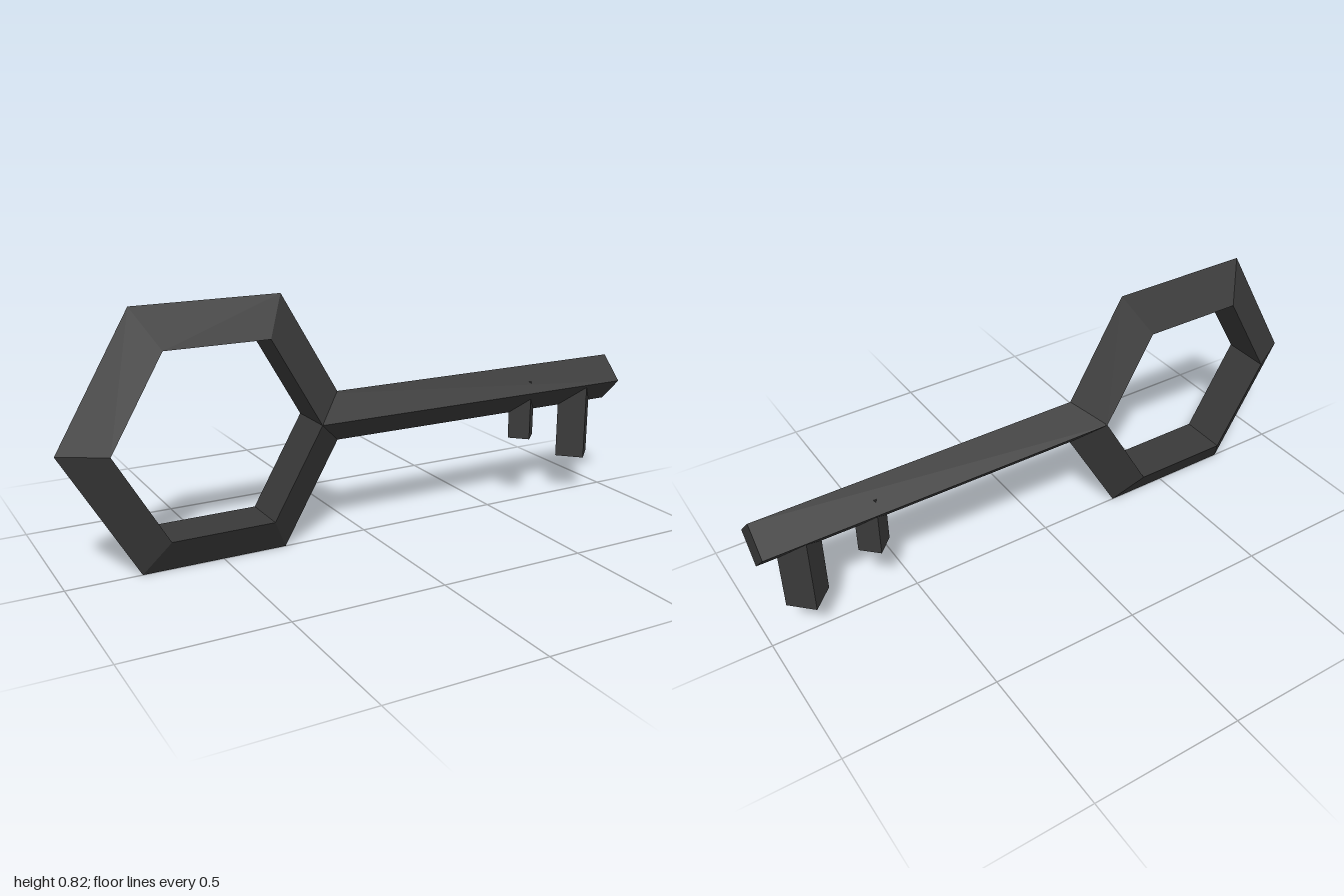
import * as THREE from 'three';

const AXIS_Y = 0.411;

export function createModel() {
  const group = new THREE.Group();
  const material = new THREE.MeshStandardMaterial({ color: 0x3a3a3a, flatShading: true });

  function add(name, geometry, x, y) {
    const mesh = new THREE.Mesh(geometry, material);
    mesh.name = name;
    mesh.position.set(x, y, 0);
    group.add(mesh);
  }

  // Square bar standing on edge, ridges facing the axes
  const diamondBar = (radius, length) => new THREE.CylinderGeometry(radius, radius, length, 4);

  // Hexagonal bow with a triangular section, ridge outward
  add('bow', new THREE.TorusGeometry(0.3817, 0.0933, 3, 6), -0.525, AXIS_Y);

  // Shaft, its inner end buried in the bow
  const start = -0.185, end = 1;
  add('shaft', diamondBar(0.081, end - start).rotateZ(Math.PI / 2), (start + end) / 2, AXIS_Y);

  // Teeth hanging from the shaft
  const teeth = [
    { name: 'shortTooth', x: 0.632, radius: 0.053, bottom: 0.237, top: 0.445 },
    { name: 'longTooth', x: 0.865, radius: 0.07, bottom: 0.138, top: 0.415 },
  ];
  for (const t of teeth) {
    add(t.name, diamondBar(t.radius, t.top - t.bottom), t.x, (t.top + t.bottom) / 2);
  }

  return group;
}
